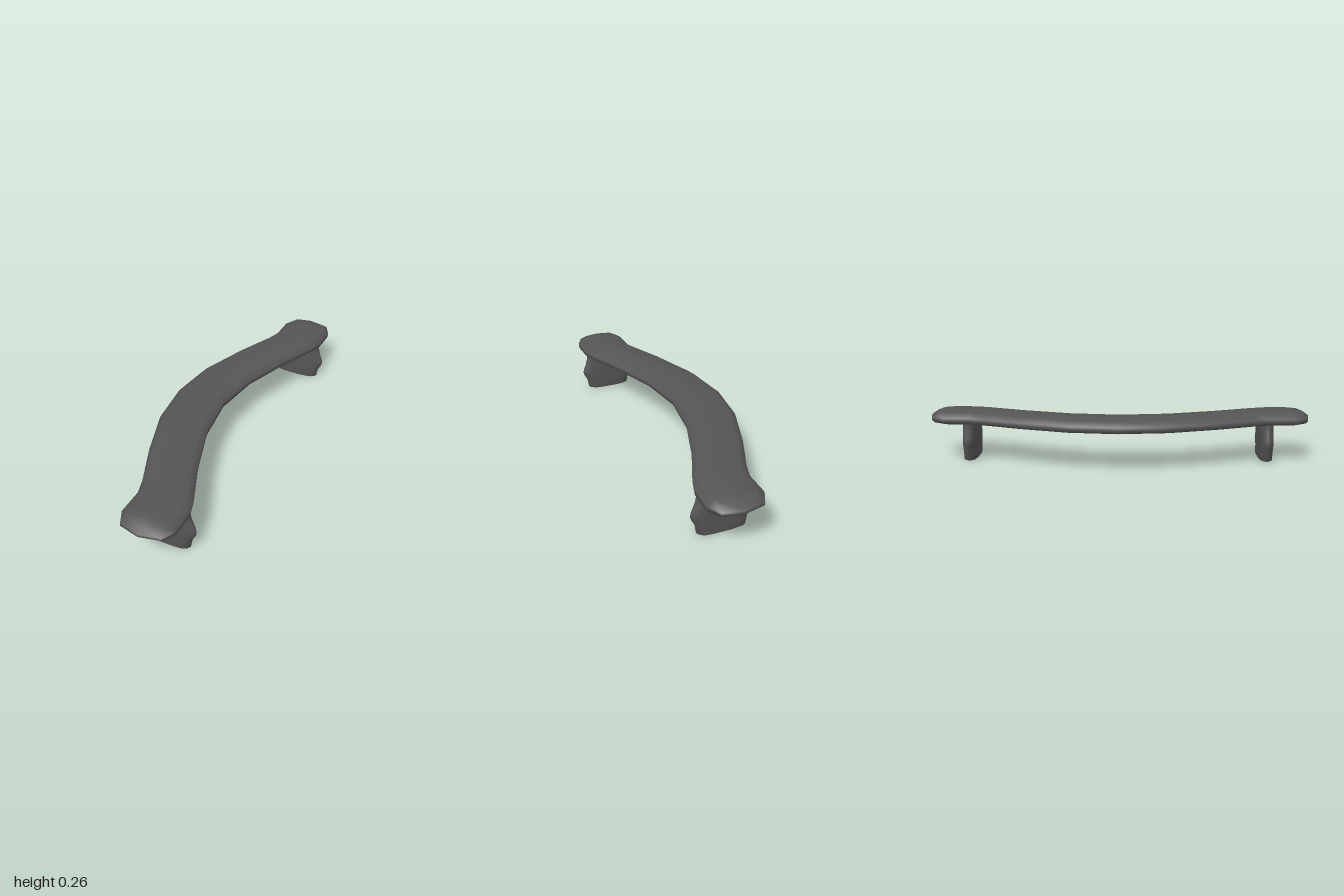
import * as THREE from 'three';
import { mergeVertices } from 'three/addons/utils/BufferGeometryUtils.js';

// Skin a list of cross-sections; closed ones wrap around and get a cap on the first ring.
function loft(rings, closed) {
  const n = rings[0].length, pos = rings.flat(2), index = [];
  for (let r = 0; r < rings.length - 1; r++) {
    for (let i = 0; i < (closed ? n : n - 1); i++) {
      const a = r * n + i, b = r * n + (i + 1) % n, c = b + n, d = a + n;
      index.push(a, b, c, a, c, d);
    }
  }
  if (closed) {
    const centre = pos.length / 3;
    pos.push(...[0, 1, 2].map(k => rings[0].reduce((s, p) => s + p[k], 0) / n));
    for (let i = 0; i < n; i++) index.push(centre, (i + 1) % n, i);
  }
  const g = new THREE.BufferGeometry();
  g.setAttribute('position', new THREE.Float32BufferAttribute(pos, 3));
  g.setIndex(index);
  const merged = mergeVertices(g, 1e-5);
  merged.computeVertexNormals();
  return merged;
}

// Curved seat shell, open underneath: stations of [z, centre x, half width], mirrored front to back
function seatGeometry() {
  const half = [[0, -0.126, 0.13], [0.25, -0.094, 0.132], [0.5, -0.009, 0.131], [0.7, 0.077, 0.131],
    [0.78, 0.103, 0.132], [0.91, 0.105, 0.133], [0.977, 0.105, 0.099], [1, 0.105, 0]];
  const stations = [...half.slice(1).reverse().map(([z, c, w]) => [-z, c, w]), ...half];
  // rim levels up to the centre ridge: [height, inset as part of half width, end inset]
  const levels = [[0.198, 0.09, 0.045], [0.204, 0.015, 0.015], [0.216, 0, 0],
    [0.23, 0, 0], [0.254, 0.24, 0.035]];
  const ridge = [0.262, 1, 0.08];
  return loft(stations.map(([z, c, w]) => {
    const end = Math.max(0, (Math.abs(z) - 0.88) / 0.12);
    const point = ([y, inset, pull], s) =>
      [c + s * w * (1 - inset), y, z - Math.sign(z) * pull * end];
    return [...levels.map(l => point(l, 1)), point(ridge, 1),
      ...[...levels].reverse().map(l => point(l, -1))];
  }), false);
}

// Flat leg with bulging sides and thin edges, running up into the seat shell
function legGeometry() {
  // [height, half width, thickness scale]
  const profile = [[0, 0.106, 0.85], [0.005, 0.119, 1], [0.05, 0.127, 1], [0.08, 0.144, 1],
    [0.1, 0.149, 1], [0.12, 0.145, 1], [0.15, 0.132, 1], [0.18, 0.124, 1], [0.235, 0.119, 1]];
  const quarter = [[1, 0.003], [0.92, 0.018], [0.78, 0.029], [0.4, 0.034]];
  const side = [...quarter, ...[...quarter].reverse().map(([u, t]) => [-u, t])];
  const section = [...side.map(([u, t]) => [u, -t]), ...[...side].reverse()];
  return loft(profile.map(([y, w, k]) => section.map(([u, t]) => [u * w, y, t * k])), true);
}

export function createModel() {
  const group = new THREE.Group();
  group.name = 'curvedBench';
  const grey = new THREE.MeshStandardMaterial({ color: 0x555555, side: THREE.DoubleSide });
  grey.name = 'darkGrey';

  const seat = new THREE.Mesh(seatGeometry(), grey);
  seat.name = 'seat';
  group.add(seat);

  const leg = legGeometry();
  for (const [name, z] of [['frontLeg', 0.773], ['backLeg', -0.788]]) {
    const mesh = new THREE.Mesh(leg, grey);
    mesh.name = name;
    mesh.position.set(0.107, 0, z);
    group.add(mesh);
  }
  return group;
}
